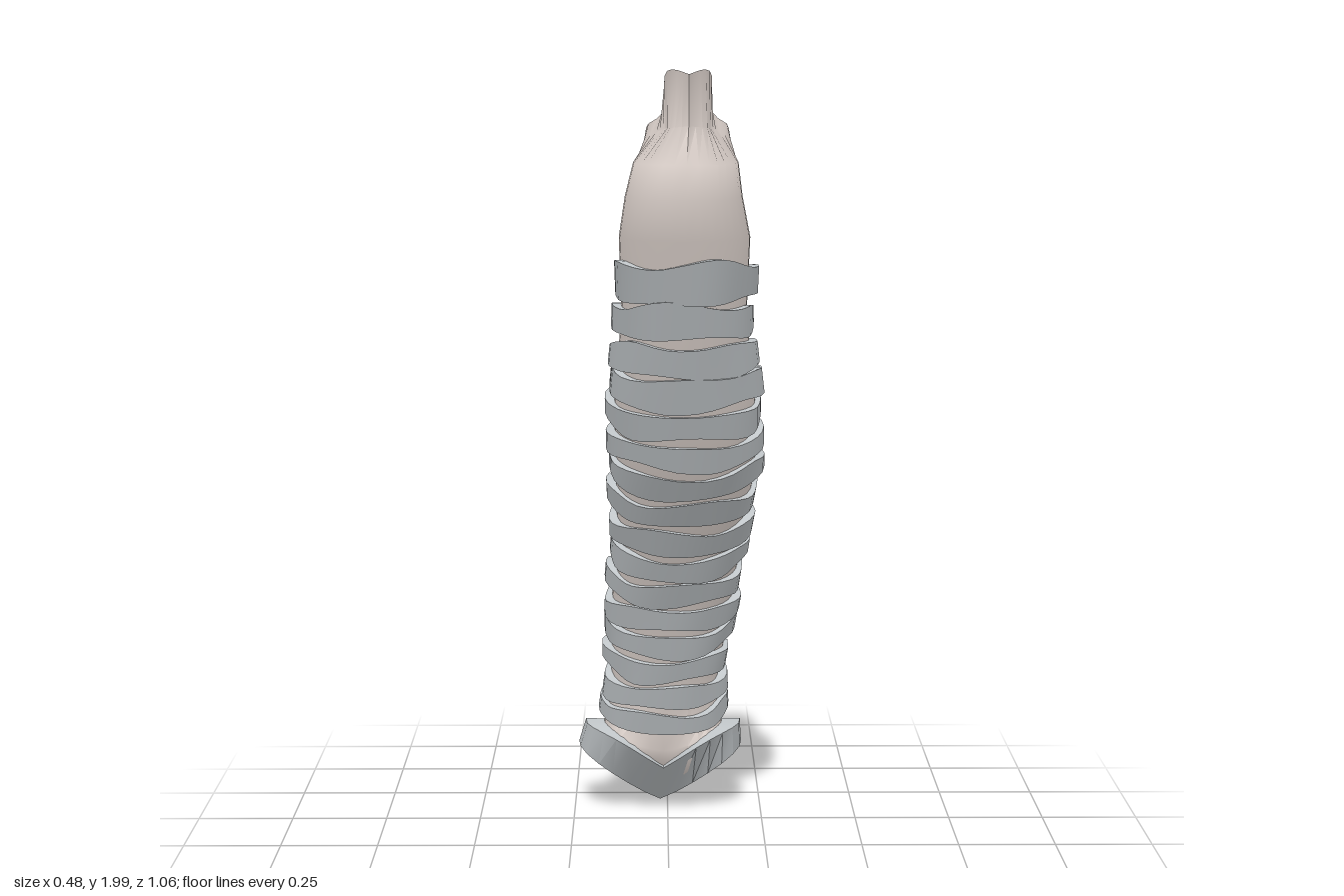
import * as THREE from 'three';
import { toCreasedNormals } from 'three/addons/utils/BufferGeometryUtils.js';

const SEG = 32;
const V = (x, y, z) => new THREE.Vector3(x, y, z);
const lerp = THREE.MathUtils.lerp;

// Tube profile: height, x right, x left, z front, z back
const PROFILE = [
  [0.25, -0.17, 0.145, -0.25, -0.495],
  [0.4, -0.15, 0.135, -0.19, -0.43],
  [0.6, -0.148, 0.165, -0.10, -0.355],
  [0.8, -0.13, 0.19, 0.02, -0.27],
  [1.0, -0.135, 0.22, 0.17, -0.18],
  [1.2, -0.135, 0.215, 0.27, -0.09],
  [1.4, -0.115, 0.19, 0.36, -0.005],
  [1.6, -0.12, 0.195, 0.45, 0.105],
  [1.7, -0.105, 0.175, 0.49, 0.135],
  [1.78, -0.085, 0.165, 0.49, 0.14],
];

// Point on the tube at angle a (0 = front, +90 degrees = left) and height y;
// the section is round in front and squarish behind
function wall(a, y) {
  let i = 0;
  while (i < PROFILE.length - 2 && y > PROFILE[i + 1][0]) i++;
  const p = PROFILE[i], q = PROFILE[i + 1];
  const t = (y - p[0]) / (q[0] - p[0]);
  const [, xr, xl, zf, zb] = p.map((v, k) => lerp(v, q[k], t));
  const s = Math.sin(a), c = Math.cos(a);
  const sx = Math.sign(s) * Math.abs(s) ** (c < 0 ? 0.75 : 0.9);
  const cz = Math.sign(c) * Math.abs(c) ** (c < 0 ? 0.65 : 1);
  return V((xl + xr) / 2 + sx * (xl - xr) / 2, y, (zf + zb) / 2 + cz * (zf - zb) / 2);
}

// Saddle-shaped lower end: t = 0 at the tube, t = 1 at the forked edge
function fork(a, t) {
  const s = Math.abs(Math.sin(a)), c = Math.cos(a);
  const reach = c < 0 ? 0.13 : 0.2;
  const edge = V(-0.01 + 0.17 * Math.sin(a), 0.01 + 0.19 * s ** 1.1, -0.46 + 0.05 * s * s + c * s * reach);
  const p = wall(a, 0.25).lerp(edge, t);
  p.z += c * (c < 0 ? 0.045 : 0.055) * Math.sin(Math.PI * t);
  return p;
}

// Mouth curves from front to back: half width, height, depth
const half = (pts) => new THREE.CatmullRomCurve3(pts.map((p) => V(...p)));
const NECK = half([[0, 1.87, 0.475], [0.04, 1.865, 0.44], [0.055, 1.86, 0.36], [0.075, 1.85, 0.29],
  [0.105, 1.83, 0.21], [0.08, 1.81, 0.155], [0, 1.8, 0.14]]);
const RIM = half([[0, 1.99, 0.528], [0.035, 2.0, 0.47], [0.057, 1.975, 0.33], [0.055, 1.9, 0.28],
  [0.1, 1.86, 0.21], [0.065, 1.84, 0.145], [0, 1.83, 0.13]]);
function mouth(curve, a) {
  const p = curve.getPoint(Math.min(1, Math.abs(a) / Math.PI));
  return V(0.045 + Math.sign(a) * p.x, p.y, p.z);
}

// Skin a grid of points; rows always close on themselves
function skin(rows, closeColumns, crease) {
  const n = rows[0].length, pos = [], idx = [];
  rows.flat().forEach((p) => pos.push(p.x, p.y, p.z));
  for (let i = 0; i < rows.length; i++) {
    const k = (i + 1) % rows.length;
    for (let j = 0; j < (closeColumns ? n : n - 1); j++) {
      const m = (j + 1) % n;
      const a = i * n + j, b = i * n + m, c = k * n + m, d = k * n + j;
      idx.push(a, b, c, a, c, d);
    }
  }
  const g = new THREE.BufferGeometry();
  g.setAttribute('position', new THREE.Float32BufferAttribute(pos, 3));
  g.setIndex(idx);
  return toCreasedNormals(g, crease);
}

// Raised band; at(a, u) returns its lower and upper wall points and its thickness
function band(at, from, to, n) {
  const rows = [[], [], [], []];
  for (let j = 0; j <= n; j++) {
    const a = lerp(from, to, j / n);
    const { low, high, thick } = at(a, j / n);
    const out = V(Math.sin(a), 0, Math.cos(a));
    const loop = [[low, -0.012], [low, thick], [high, thick], [high, -0.012]]
      .map(([p, d]) => p.clone().addScaledVector(out, d));
    if (j === 0 || j === n) { // pinch the ends shut
      const mid = loop.reduce((s, p) => s.add(p), V(0, 0, 0)).multiplyScalar(0.25);
      loop.forEach((p) => p.lerp(mid, 0.98));
    }
    loop.forEach((p, i) => rows[i].push(p));
  }
  return skin(rows, false, 0.5);
}

export function createModel() {
  const model = new THREE.Group();
  const membrane = new THREE.MeshStandardMaterial({ color: 0xe6dbd5, side: THREE.DoubleSide });
  const cartilage = new THREE.MeshStandardMaterial({ color: 0xc2c7ca, side: THREE.DoubleSide });
  const add = (name, geometry, material, parent = model) => {
    const mesh = new THREE.Mesh(geometry, material);
    mesh.name = name;
    parent.add(mesh);
  };

  // Windpipe wall: outer rows upward, then a thin inner lining back down
  const angles = Array.from({ length: SEG }, (_, j) => -Math.PI + (2 * Math.PI * j) / SEG);
  const row = (f) => angles.map(f);
  const outer = [1, 0.75, 0.5, 0.25].map((t) => row((a) => fork(a, t)));
  PROFILE.forEach(([y]) => outer.push(row((a) => wall(a, y))));
  outer.push(row((a) => mouth(NECK, a)), row((a) => mouth(RIM, a)));
  const inner = outer.map((r) => {
    const c = r.reduce((s, p) => s.add(p), V(0, 0, 0)).divideScalar(SEG);
    return r.map((p) => p.clone().lerp(c, 0.1));
  }).reverse();
  add('windpipeWall', skin([...outer, ...inner], true, 0.7), membrane);

  // Cartilage rings: height at front, rise toward the ends, band height
  const rings = new THREE.Group();
  rings.name = 'cartilageRings';
  model.add(rings);
  [[1.495, 0.01, 0.1], [1.4, 0.0, 0.085], [1.3, 0.02, 0.08], [1.215, 0.05, 0.08],
    [1.125, 0.08, 0.065], [1.045, 0.09, 0.06], [0.965, 0.1, 0.06], [0.885, 0.1, 0.06],
    [0.8, 0.1, 0.065], [0.725, 0.09, 0.06], [0.65, 0.09, 0.06], [0.575, 0.08, 0.06],
    [0.5, 0.08, 0.06], [0.425, 0.08, 0.06], [0.345, 0.08, 0.06], [0.27, 0.07, 0.055],
  ].forEach(([y0, rise, h], k) => {
    const reach = k < 3 ? 1.9 : 2.05;
    const from = -reach - 0.1 * Math.sin(k * 2.3), to = reach + 0.1 * Math.sin(k * 3.7 + 1);
    const at = (a, u) => {
      const taper = Math.max(0.35, Math.sin(Math.PI * u) ** 0.35);
      const y = y0 + rise * (1 - Math.cos(a)) / 2 + 0.006 * Math.sin(a * 3 + k * 1.9);
      const hh = (h / 2) * taper * (1 + 0.15 * Math.sin(a * 4 + k * 2.7));
      const thick = 0.019 + 0.006 * Math.sin(a * 5 + k * 4.1);
      return { low: wall(a, y - hh), high: wall(a, y + hh), thick };
    };
    add('ring' + (k + 1), band(at, from, to, 24), cartilage, rings);
  });

  // Pointed lowest cartilage, flaring out at both sides
  const keel = band((a) => {
    const s = Math.abs(Math.sin(a));
    const low = fork(a, 1), high = fork(a, lerp(0.45, 0.05, s));
    low.x -= 0.01;
    low.y -= 0.02 * s;
    return { low, high, thick: 0.022 + 0.028 * s ** 3 };
  }, -1.85, 1.85, 16);
  add('forkCartilage', keel, cartilage);

  return model;
}
